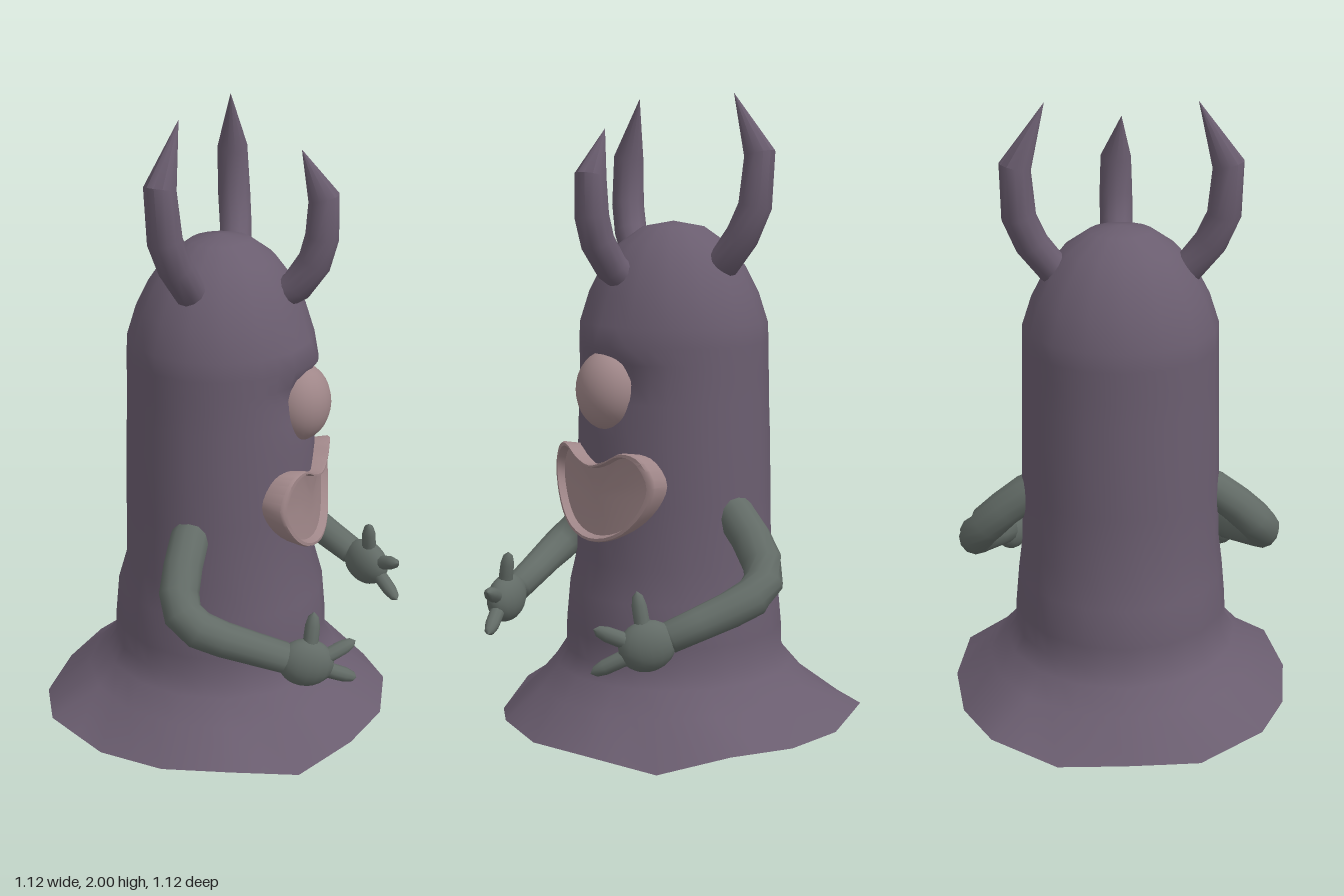
import * as THREE from 'three';
import { mergeVertices, toCreasedNormals } from 'three/addons/utils/BufferGeometryUtils.js';

const paint = (color) => new THREE.MeshStandardMaterial({ color, side: THREE.DoubleSide });
const skin = paint(0x6a5d6f);
const sleeve = paint(0x626b66);
const pink = paint(0xa08789);

function add(parent, name, geometry, material) {
  const mesh = new THREE.Mesh(geometry, material);
  mesh.name = name;
  parent.add(mesh);
  return mesh;
}

// Joins equal-length rings of Vector3 into one smooth skin.
function skinRings(rings) {
  const n = rings[0].length, index = [];
  for (let i = 0; i < rings.length - 1; i++) {
    for (let j = 0; j < n; j++) {
      const k = (j + 1) % n, a = i * n, b = a + n;
      index.push(a + j, a + k, b + k, a + j, b + k, b + j);
    }
  }
  const g = new THREE.BufferGeometry().setFromPoints(rings.flat());
  g.setIndex(index);
  g.computeVertexNormals();
  return g;
}

// Round limb through points with a radius at each; ref steers the cross-section.
function limb(points, radii, ref, sides = 12) {
  const p = points.map((a) => new THREE.Vector3(...a));
  return skinRings(p.map((c, i) => {
    const t = p[Math.min(i + 1, p.length - 1)].clone().sub(p[Math.max(i - 1, 0)]).normalize();
    const u = ref.clone().cross(t).normalize();
    const v = t.clone().cross(u);
    return Array.from({ length: sides }, (_, j) => {
      const a = (j / sides) * Math.PI * 2;
      return c.clone().addScaledVector(u, radii[i] * Math.cos(a)).addScaledVector(v, radii[i] * Math.sin(a));
    });
  }));
}

// Uneven hem from front to back: radius and height every 22.5 degrees.
const hem = [[0.56, 0.03], [0.56, 0.035], [0.566, 0.002], [0.566, 0.048], [0.56, 0.036],
  [0.572, 0.03], [0.61, 0.055], [0.588, 0.022], [0.56, 0.03]];
function hemAt(angle) {
  const s = Math.abs(angle) / (Math.PI / 8);
  const i = Math.min(7, Math.floor(s));
  return [0, 1].map((k) => THREE.MathUtils.lerp(hem[i][k], hem[i + 1][k], s - i));
}

// Hollow body: flared uneven skirt, column, brow and domed head.
function bodyGeometry() {
  const profile = [
    [1, 0], [0.445, 0.13], [0.385, 0.2], [0.352, 0.25], [0.35, 0.32], [0.338, 0.45], [0.325, 0.55],
    [0.322, 0.75], [0.318, 0.95], [0.314, 1.06], [0.313, 1.13], [0.312, 1.18], [0.311, 1.235], [0.309, 1.295],
    [0.278, 1.39], [0.236, 1.47], [0.18, 1.54], [0.1, 1.595], [0, 1.612],
  ];
  let g = new THREE.LatheGeometry(profile.map(([r, y]) => new THREE.Vector2(r, y)), 32);
  const pos = g.attributes.position;
  for (let i = 0; i < pos.count; i++) {
    let x = pos.getX(i), y = pos.getY(i), z = pos.getZ(i);
    const facet = Math.floor(i / profile.length) % 2 ? Math.cos(Math.PI / 16) : 1;
    const [hemRadius, hemHeight] = hemAt(Math.atan2(z, x));
    const isHem = i % profile.length === 0;
    const scale = facet * (isHem ? hemRadius : 1);
    if (isHem) y = hemHeight;
    x *= scale * (y > 0.5 ? 0.945 : 1);
    z *= scale;
    // Brow pushed out above a shallow eye socket
    if (x > 0) {
      const near = Math.exp(-((z / 0.13) ** 2));
      x += near * (0.028 * Math.exp(-(((y - 1.24) / 0.035) ** 2)) - 0.04 * Math.exp(-(((y - 1.12) / 0.07) ** 2)));
    }
    pos.setXYZ(i, x, y, z);
  }
  g.deleteAttribute('uv');
  g.deleteAttribute('normal');
  g = mergeVertices(g, 1e-4);
  g.computeVertexNormals();
  return g;
}

// Curved smiling dish with a raised rim, bent around the body.
function mouthGeometry() {
  const half = [[0.07, 0.888], [0.14, 0.92], [0.2, 0.908], [0.247, 0.83], [0.215, 0.74], [0.13, 0.66]];
  const outline = [[0, 0.87], ...half, [0, 0.628], ...half.map(([z, y]) => [-z, y]).reverse()];
  const curve = new THREE.CatmullRomCurve3(outline.map(([z, y]) => new THREE.Vector3(0, y, z)), true);
  const edge = curve.getPoints(48).slice(0, 48);
  const layers = [[0.91, 0.255], [1, 0.335], [0.98, 0.343], [0.92, 0.343], [0.87, 0.318], [0.45, 0.312], [0, 0.31]];
  const rings = layers.map(([s, x]) => edge.map((p) => {
    const z = p.z * s;
    return new THREE.Vector3(x - 0.92 * z * z, 0.77 + (p.y - 0.77) * s, z);
  }));
  return toCreasedNormals(skinRings(rings), 0.8);
}

// One arm with a palm, two fingers and a thumb; side is +1 or -1 in z.
function makeArm(side) {
  const arm = new THREE.Group();
  arm.name = side > 0 ? 'leftSideArm' : 'rightSideArm';
  const m = (pts) => pts.map(([x, y, z]) => [x, y, z * side]);
  const up = new THREE.Vector3(0, 1, 0);
  add(arm, 'sleeve', limb(m([
    [0.005, 0.74, 0.25], [0.005, 0.71, 0.31], [0.01, 0.655, 0.38], [0.02, 0.595, 0.44], [0.045, 0.545, 0.475],
    [0.1, 0.505, 0.482], [0.17, 0.475, 0.462], [0.26, 0.44, 0.426], [0.345, 0.408, 0.392], [0.365, 0.402, 0.385],
  ]), [0.06, 0.062, 0.062, 0.062, 0.061, 0.059, 0.055, 0.051, 0.048, 0], up), sleeve);

  const palm = add(arm, 'palm', new THREE.SphereGeometry(1, 16, 12), sleeve);
  palm.scale.set(0.088, 0.077, 0.055);
  palm.position.set(0.405, 0.388, 0.365 * side);
  palm.rotation.set(0, 0.45 * side, -0.2);

  const digits = {
    upperFinger: [[0.45, 0.4, 0.35], [0.537, 0.443, 0.278]],
    lowerFinger: [[0.45, 0.365, 0.345], [0.542, 0.308, 0.27]],
    thumb: [[0.415, 0.43, 0.36], [0.418, 0.548, 0.332]],
  };
  for (const [name, [a, b]] of Object.entries(digits)) {
    const along = [0, 0.35, 0.65, 0.88, 1].map((t) => a.map((v, i) => v + (b[i] - v) * t));
    const ref = name === 'thumb' ? new THREE.Vector3(1, 0, 0) : up;
    add(arm, name, limb(m(along), [0.024, 0.024, 0.023, 0.016, 0], ref, 10), sleeve);
  }
  return arm;
}

export function createModel() {
  const model = new THREE.Group();
  model.name = 'hornedCreature';
  add(model, 'body', bodyGeometry(), skin);

  // Eye
  const eye = add(model, 'eye', new THREE.SphereGeometry(1, 24, 16), pink);
  eye.scale.set(0.1, 0.125, 0.11);
  eye.position.set(0.26, 1.095, 0);

  add(model, 'mouth', mouthGeometry(), pink);

  // Three bent horns with pointed tips
  const horn = (name, points, ref) => add(model, name, toCreasedNormals(
    limb(points, [0.048, 0.051, 0.053, 0.053, 0.049, 0], ref, 12), 0.7), skin);
  horn('frontHorn', [[0.2, 1.44, 0], [0.245, 1.47, 0], [0.3, 1.55, 0], [0.322, 1.63, 0], [0.325, 1.75, 0], [0.258, 1.893, 0.015]],
    new THREE.Vector3(0, 0, 1));
  for (const s of [1, -1]) {
    horn(s > 0 ? 'leftSideHorn' : 'rightSideHorn', [
      [-0.015, 1.45, 0.165 * s], [-0.025, 1.485, 0.21 * s], [-0.045, 1.57, 0.273 * s],
      [-0.063, 1.66, 0.31 * s], [-0.073, 1.815, 0.318 * s], [-0.048, 2, 0.228 * s],
    ], new THREE.Vector3(1, 0, 0));
    model.add(makeArm(s));
  }
  return model;
}
